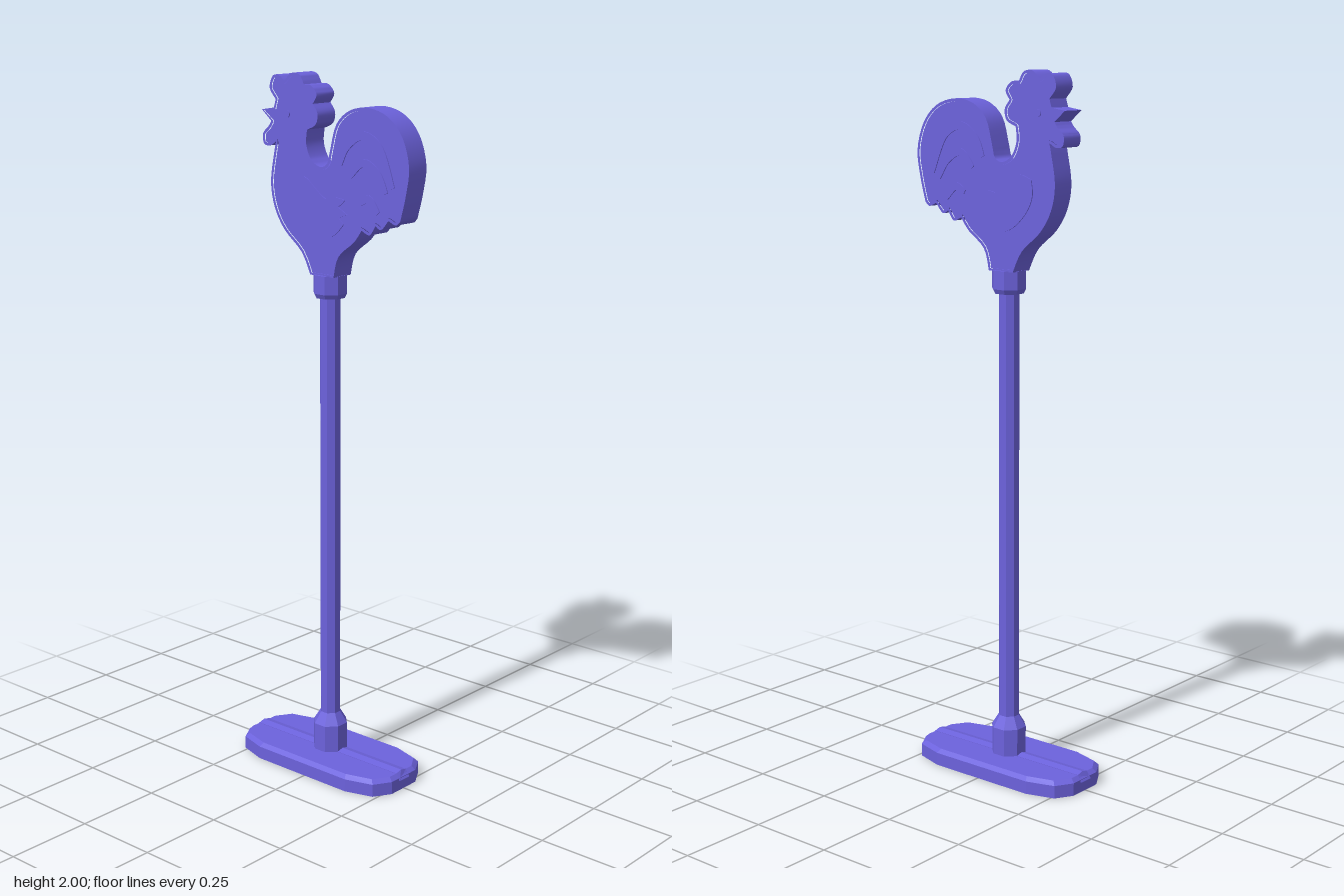
import * as THREE from 'three';
import { toCreasedNormals } from 'three/addons/utils/BufferGeometryUtils.js';

const CX = -0.011; // axis of the pole
const smooth = new THREE.MeshStandardMaterial({ color: 0x6c62dc });
const faceted = new THREE.MeshStandardMaterial({ color: 0x6c62dc, flatShading: true });

// Points are given in hundredths of a unit.
const vec = ([x, y]) => new THREE.Vector2(x / 100, y / 100);

// Spline through one run of points.
const spline = (pts, per = 4) => new THREE.SplineCurve(pts.map(vec)).getPoints((pts.length - 1) * per);

// Smooth runs joined at sharp corners into one closed contour.
const joinRuns = (runs) => runs.flatMap((run) => (run.length === 2 ? run.map(vec) : spline(run)).slice(0, -1));

// Moves a closed clockwise contour inwards by d.
function inset(pts, d) {
  const n = pts.length;
  return pts.map((p, i) => {
    const a = pts[(i + n - 1) % n], b = pts[(i + 1) % n];
    const u = p.clone().sub(a).normalize(), v = b.clone().sub(p).normalize();
    const t = u.add(v).normalize();
    return new THREE.Vector2(p.x + t.y * d, p.y - t.x * d);
  });
}

// A plate cut through the whole figure, centred on z = 0.
function plate(name, pts, depth, hole) {
  const shape = new THREE.Shape(pts);
  if (hole) shape.holes.push(new THREE.Path(hole));
  const geo = new THREE.ExtrudeGeometry(shape, { depth, bevelEnabled: false });
  geo.translate(0, 0, -depth / 2);
  const mesh = new THREE.Mesh(toCreasedNormals(geo, 0.6), smooth);
  mesh.name = name;
  return mesh;
}

// Curved feather stripe, thin at its first end.
function featherContour(pts, width) {
  const mid = spline(pts, 6), n = mid.length - 1;
  const outer = [], inner = [];
  mid.forEach((p, i) => {
    const t = mid[Math.min(i + 1, n)].clone().sub(mid[Math.max(i - 1, 0)]).normalize();
    const w = width / 2 * (0.4 + 0.6 * Math.sin(Math.PI * (0.1 + 0.8 * i / n)));
    outer.push(new THREE.Vector2(p.x - t.y * w, p.y + t.x * w));
    inner.unshift(new THREE.Vector2(p.x + t.y * w, p.y - t.x * w));
  });
  return outer.concat(inner);
}

// Eight-sided turned part with flats facing the front.
function turned(name, profile) {
  const geo = new THREE.LatheGeometry(profile.map(([r, y]) => new THREE.Vector2(r, y)), 8);
  geo.rotateY(Math.PI / 8);
  const mesh = new THREE.Mesh(geo, faceted);
  mesh.name = name;
  mesh.position.x = CX;
  return mesh;
}

function makeBase() {
  const quarter = [[0.279, 0.053], [0.249, 0.103], [0.167, 0.128]];
  const back = [...quarter].reverse();
  const pts = [
    ...quarter,
    ...back.map(([x, z]) => [-x, z]),
    ...quarter.map(([x, z]) => [-x, -z]),
    ...back.map(([x, z]) => [x, -z]),
  ].map(([x, z]) => new THREE.Vector2(x, z));
  const geo = new THREE.ExtrudeGeometry(new THREE.Shape(pts), { depth: 0.048, steps: 2, bevelEnabled: false });
  geo.rotateX(-Math.PI / 2);
  // chamfer the upper edge: raise the middle ring and draw the top ring in
  const pos = geo.attributes.position;
  for (let i = 0; i < pos.count; i++) {
    const y = pos.getY(i);
    if (y > 0.04) pos.setXYZ(i, pos.getX(i) * 0.96, y, pos.getZ(i) * 0.914);
    else if (y > 0.01) pos.setY(i, 0.037);
  }
  geo.computeVertexNormals();
  const mesh = new THREE.Mesh(geo, faceted);
  mesh.name = 'base';
  mesh.position.x = CX;
  return mesh;
}

// Low roof-shaped rib along the base, with sloping ends.
function makeRib() {
  const section = new THREE.Shape([[-2.1, 3], [2.1, 3], [2.1, 4.9], [0, 5.4], [-2.1, 4.9]].map(vec));
  const geo = new THREE.ExtrudeGeometry(section, { depth: 0.566, bevelEnabled: false });
  geo.translate(0, 0, -0.283).rotateY(Math.PI / 2);
  const pos = geo.attributes.position;
  for (let i = 0; i < pos.count; i++) {
    if (pos.getY(i) > 0.04) pos.setX(i, pos.getX(i) * 0.95);
  }
  geo.computeVertexNormals();
  const mesh = new THREE.Mesh(geo, faceted);
  mesh.name = 'baseRib';
  mesh.position.x = CX;
  return mesh;
}

function makeRooster() {
  const group = new THREE.Group();
  group.name = 'rooster';
  const outline = joinRuns([
    // breast
    [[-5.3, 145.5], [-8.5, 151.5], [-14.8, 157], [-18.5, 163], [-19.8, 170], [-18.5, 178], [-17.8, 181]],
    // wattle
    [[-17.8, 181], [-20, 179.8], [-22.3, 180.2], [-22.6, 183], [-20.6, 185], [-19.5, 186.5]],
    // beak
    [[-19.5, 186.5], [-23, 189.5]],
    [[-23, 189.5], [-18.5, 190.2]],
    [[-18.5, 190.2], [-17.8, 192.5]],
    // comb
    [[-17.8, 192.5], [-20, 195.5], [-18.8, 198.8], [-16.5, 199], [-14.6, 197.6]],
    [[-14.6, 197.6], [-12, 199.8], [-9, 199.5], [-7.4, 197]],
    [[-7.4, 197], [-4.8, 196.8], [-2.8, 194.5], [-4.2, 192]],
    [[-4.2, 192], [-2.5, 189.5], [-3.2, 186.5], [-6.3, 185]],
    // neck, back and tail
    [[-6.3, 185], [-6.6, 181], [-4.8, 177], [-1.5, 175.3], [1, 176.5], [2, 180], [4.2, 187], [9, 191],
      [15.5, 192], [22.2, 190], [27, 185], [29.3, 177.5], [28.3, 170], [26.5, 163.2]],
    // tail tips
    [[26.5, 163.2], [25, 162], [22.5, 163]],
    [[22.5, 163], [20, 160.3], [18, 161.2]],
    [[18, 161.2], [16, 158.5], [13.2, 159.5]],
    // rump
    [[13.2, 159.5], [10.5, 156], [5, 151.5], [3.2, 145.5]],
    [[3.2, 145.5], [-5.3, 145.5]],
  ]);
  const inner = inset(outline, 0.008);
  group.add(plate('roosterRim', outline, 0.072, inner));
  group.add(plate('roosterBody', inner, 0.066));

  // raised details, the same on both faces
  const wing = joinRuns([
    [[4.8, 165], [7, 167], [3.5, 167.5], [0, 167], [-3.7, 169.6], [-7.4, 172.2], [-11.6, 171]].reverse(),
    [[4.8, 165], [8, 163.2]],
    [[8, 163.2], [5, 162]],
    [[5, 162], [6.8, 160.5]],
    [[6.8, 160.5], [2.5, 156.7], [-4, 157], [-9.5, 161.5], [-12, 166.5], [-11.6, 171]],
  ]);
  group.add(plate('wing', wing, 0.072));
  const feathers = [
    [[5.5, 176.5], [8, 181.5], [13.5, 184.7], [19.5, 181.5], [23.8, 171.5]],
    [[9, 173.5], [13.5, 177.5], [18.5, 175], [21.5, 170]],
    [[12, 166.5], [15.5, 168], [18.8, 164.5]],
  ];
  feathers.forEach((pts) => group.add(plate('tailFeather', featherContour(pts, 0.022), 0.072)));
  const eye = new THREE.Mesh(new THREE.CylinderGeometry(0.01, 0.01, 0.072, 16).rotateX(Math.PI / 2), smooth);
  eye.name = 'eye';
  eye.position.set(-0.138, 1.887, 0);
  group.add(eye);
  return group;
}

export function createModel() {
  const model = new THREE.Group();
  model.name = 'roosterOnStand';
  model.add(
    makeBase(),
    makeRib(),
    turned('lowerSocket', [[0, 0.04], [0.051, 0.04], [0.051, 0.128], [0.03, 0.162], [0, 0.162]]),
    turned('pole', [[0, 0.1], [0.03, 0.1], [0.03, 1.42], [0, 1.42]]),
    turned('upperSocket', [[0, 1.392], [0.042, 1.392], [0.049, 1.405], [0.049, 1.457], [0, 1.457]]),
    makeRooster(),
  );
  return model;
}
